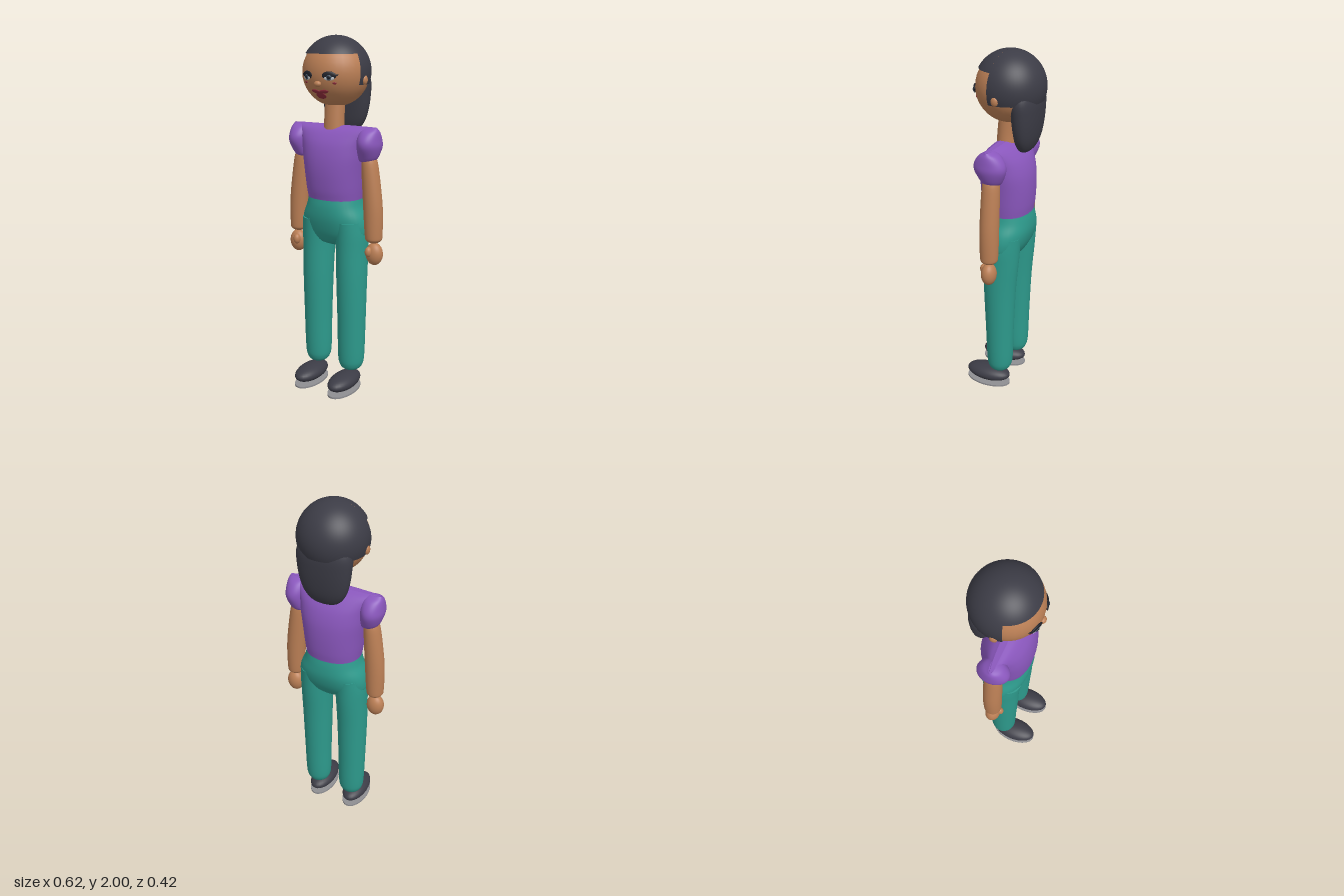
import * as THREE from 'three';

const mat = (name, color) => {
  const m = new THREE.MeshStandardMaterial({ color });
  m.name = name;
  return m;
};

// Smooth closed body from rings listed top to bottom: [y, centreX, centreZ, radiusX, radiusZ]
function loft(rings, { s = 1, power = 1, sides = 40, steps = 5 } = {}) {
  const centres = new THREE.CatmullRomCurve3(rings.map(r => new THREE.Vector3(r[1] * s, r[0], r[2])), false, 'catmullrom');
  const radii = new THREE.CatmullRomCurve3(rings.map(r => new THREE.Vector3(r[3], r[4], 0)), false, 'catmullrom');
  const n = (rings.length - 1) * steps, pos = [], idx = [];
  const bend = v => Math.sign(v) * Math.abs(v) ** power;
  const addRing = t => {
    const c = centres.getPoint(t), r = radii.getPoint(t);
    for (let j = 0; j < sides; j++) {
      const a = j / sides * Math.PI * 2;
      pos.push(c.x + Math.max(r.x, 0.001) * bend(Math.cos(a)), c.y, c.z + Math.max(r.y, 0.001) * bend(Math.sin(a)));
    }
    return c;
  };
  for (let i = 0; i <= n; i++) addRing(i / n);
  for (let i = 0; i < n; i++) for (let j = 0; j < sides; j++) {
    const k = (j + 1) % sides, p = i * sides, q = p + sides;
    idx.push(q + j, p + j, q + k, p + j, p + k, q + k);
  }
  // Flat end caps on their own vertices
  for (const t of [0, 1]) {
    const base = pos.length / 3;
    pos.push(...addRing(t).toArray());
    for (let j = 0; j < sides; j++) {
      const k = (j + 1) % sides;
      idx.push(base + sides, base + (t ? j : k), base + (t ? k : j));
    }
  }
  const g = new THREE.BufferGeometry();
  g.setAttribute('position', new THREE.Float32BufferAttribute(pos, 3));
  g.setIndex(idx);
  g.computeVertexNormals();
  return g;
}

export function createModel() {
  const model = new THREE.Group();
  model.name = 'standingWoman';
  const skin = mat('skin', 0xbb7f55), charcoal = mat('charcoal', 0x3c3c46), purple = mat('purple', 0x8a57bd);
  const teal = mat('teal', 0x2d9a8c), soleGrey = mat('soleGrey', 0x8e8e92), black = mat('lashBlack', 0x20222a);
  const white = mat('eyeWhite', 0xc8ccd0), iris = mat('irisGrey', 0x46586a), lip = mat('lipRed', 0x8c2c3a);
  charcoal.side = THREE.DoubleSide;

  const add = (name, geo, material) => {
    const m = new THREE.Mesh(geo, material);
    m.name = name;
    model.add(m);
    return m;
  };
  const ellipsoid = (name, material, p, r) => {
    const m = add(name, new THREE.SphereGeometry(1, 32, 20), material);
    m.position.set(...p);
    m.scale.set(...r);
    return m;
  };

  // Head and neck
  const headY = 1.806, headZ = -0.02, headR = 0.183;
  ellipsoid('head', skin, [0, headY, headZ], [headR, headR, headR]);
  add('neck', loft([[1.66, 0, -0.01, 0.057, 0.05], [1.56, 0, -0.002, 0.057, 0.052], [1.49, 0, 0, 0.06, 0.055]]), skin);

  // Hair: a short shell over the brow and a deeper one around the back
  const shell = (name, bottomY, from, length) => {
    const R = 0.19, pts = [], end = Math.acos((bottomY - 1.81) / R);
    pts.push(new THREE.Vector2(0.178 * Math.sin(end), 0.19 * Math.cos(end)));
    for (let i = 24; i >= 0; i--) {
      const a = end * i / 24;
      pts.push(new THREE.Vector2(R * Math.sin(a), R * Math.cos(a)));
    }
    // Doubled rim keeps the lower edge crisp
    pts.splice(1, 0, pts[1].clone());
    add(name, new THREE.LatheGeometry(pts, 36, from, length), charcoal).position.set(0, 1.81, headZ);
  };
  const edge = THREE.MathUtils.degToRad(75);
  shell('fringe', 1.905, -edge, 2 * edge);
  shell('backHair', 1.745, edge, 2 * Math.PI - 2 * edge);
  add('longHair', loft([
    [1.84, 0, -0.11, 0.12, 0.06], [1.76, 0, -0.118, 0.152, 0.074], [1.68, 0, -0.122, 0.15, 0.07],
    [1.6, 0, -0.122, 0.138, 0.062], [1.54, 0, -0.12, 0.118, 0.052], [1.495, 0, -0.117, 0.085, 0.036],
    [1.475, 0, -0.115, 0.045, 0.018], [1.469, 0, -0.115, 0.003, 0.002]], { power: 0.9 }), charcoal);

  // Thin oval laid on the curve of the face
  const onFace = (name, material, x, y, rx, ry, lift = 0, roll = 0, depth = 0.005) => {
    const z = Math.sqrt(headR ** 2 - x ** 2 - (y - headY) ** 2);
    const out = new THREE.Vector3(x, y - headY, z).normalize();
    const p = new THREE.Vector3(x, y, z + headZ).addScaledVector(out, lift);
    const m = ellipsoid(name, material, p.toArray(), [rx, ry, depth]);
    m.lookAt(p.clone().add(out));
    m.rotateZ(roll);
  };
  ellipsoid('nose', skin, [0, 1.752, 0.158], [0.021, 0.016, 0.017]);
  onFace('lowerLip', lip, 0, 1.69, 0.03, 0.022, 0.001);

  for (const s of [1, -1]) {
    const side = s > 0 ? 'left' : 'right';
    // Face details
    onFace(side + 'Lashes', black, s * 0.067, 1.796, 0.038, 0.022, 0.001, 0, 0.008);
    onFace(side + 'EyeWhite', white, s * 0.067, 1.784, 0.028, 0.013, 0.005);
    onFace(side + 'Iris', iris, s * 0.067, 1.787, 0.015, 0.015, 0.007);
    onFace(side + 'Pupil', black, s * 0.067, 1.788, 0.009, 0.009, 0.01, 0, 0.004);
    onFace(side + 'OuterLash', black, s * 0.1, 1.797, 0.012, 0.004, 0.002, s * 0.5);
    onFace(side + 'Blush', lip, s * 0.089, 1.757, 0.011, 0.006, 0, 0, 0.003);
    onFace(side + 'UpperLip', lip, s * 0.023, 1.712, 0.029, 0.012, 0.001, s * 0.15);
    ellipsoid(side + 'Ear', skin, [s * 0.183, 1.77, -0.015], [0.014, 0.025, 0.02]);

    // Puffed sleeve, arm and hand
    add(side + 'Sleeve', loft([
      [1.523, 0.225, -0.005, 0.042, 0.015], [1.5, 0.223, -0.005, 0.055, 0.055], [1.46, 0.222, -0.005, 0.062, 0.083],
      [1.42, 0.222, -0.007, 0.063, 0.087], [1.37, 0.213, -0.01, 0.056, 0.066], [1.345, 0.206, -0.01, 0.045, 0.05],
      [1.337, 0.206, -0.01, 0.025, 0.03]], { s }), purple);
    add(side + 'Arm', loft([
      [1.37, 0.216, -0.01, 0.035, 0.04], [1.31, 0.224, -0.01, 0.046, 0.049], [1.1, 0.245, -0.01, 0.054, 0.052],
      [0.94, 0.252, -0.01, 0.049, 0.05], [0.905, 0.253, -0.01, 0.041, 0.042], [0.89, 0.253, -0.01, 0.015, 0.015]], { s }), skin);
    ellipsoid(side + 'Hand', skin, [s * 0.258, 0.828, -0.01], [0.05, 0.064, 0.042]);
    ellipsoid(side + 'Thumb', skin, [s * 0.242, 0.845, 0.027], [0.02, 0.029, 0.022]);

    // Trouser leg
    add(side + 'TrouserLeg', loft([
      [1.0, 0.108, -0.015, 0.085, 0.115], [0.92, 0.11, -0.015, 0.09, 0.108], [0.83, 0.112, -0.014, 0.088, 0.102],
      [0.65, 0.114, -0.008, 0.086, 0.092], [0.4, 0.115, -0.007, 0.081, 0.082], [0.2, 0.114, -0.007, 0.077, 0.076],
      [0.14, 0.114, -0.006, 0.068, 0.067], [0.112, 0.114, -0.005, 0.046, 0.046], [0.104, 0.114, -0.005, 0.01, 0.01]], { s }), teal);

    // Shoe with a thin flat sole
    ellipsoid(side + 'Shoe', charcoal, [s * 0.115, 0.058, 0.07], [0.072, 0.046, 0.137]);
    const sole = add(side + 'Sole', new THREE.CylinderGeometry(1, 1, 0.01, 40), soleGrey);
    sole.position.set(s * 0.115, 0.005, 0.07);
    sole.scale.set(0.073, 1, 0.137);
  }

  // Top, narrowing to a wide shoulder ridge
  add('top', loft([
    [1.525, 0, -0.003, 0.265, 0.018], [1.505, 0, -0.004, 0.25, 0.055], [1.47, 0, -0.006, 0.222, 0.088],
    [1.42, 0, -0.008, 0.2, 0.117], [1.35, 0, -0.01, 0.188, 0.136], [1.27, 0, -0.011, 0.175, 0.142],
    [1.18, 0, -0.013, 0.164, 0.138], [1.122, 0, -0.015, 0.156, 0.129]], { power: 0.9 }), purple);

  // Trouser hips
  add('trouserHips', loft([
    [1.135, 0, -0.015, 0.152, 0.126], [1.08, 0, -0.016, 0.165, 0.135], [1.02, 0, -0.018, 0.192, 0.135],
    [0.96, 0, -0.018, 0.202, 0.122], [0.91, 0, -0.016, 0.19, 0.102], [0.87, 0, -0.015, 0.11, 0.075],
    [0.848, 0, -0.015, 0.03, 0.03]], { power: 0.9 }), teal);

  return model;
}
